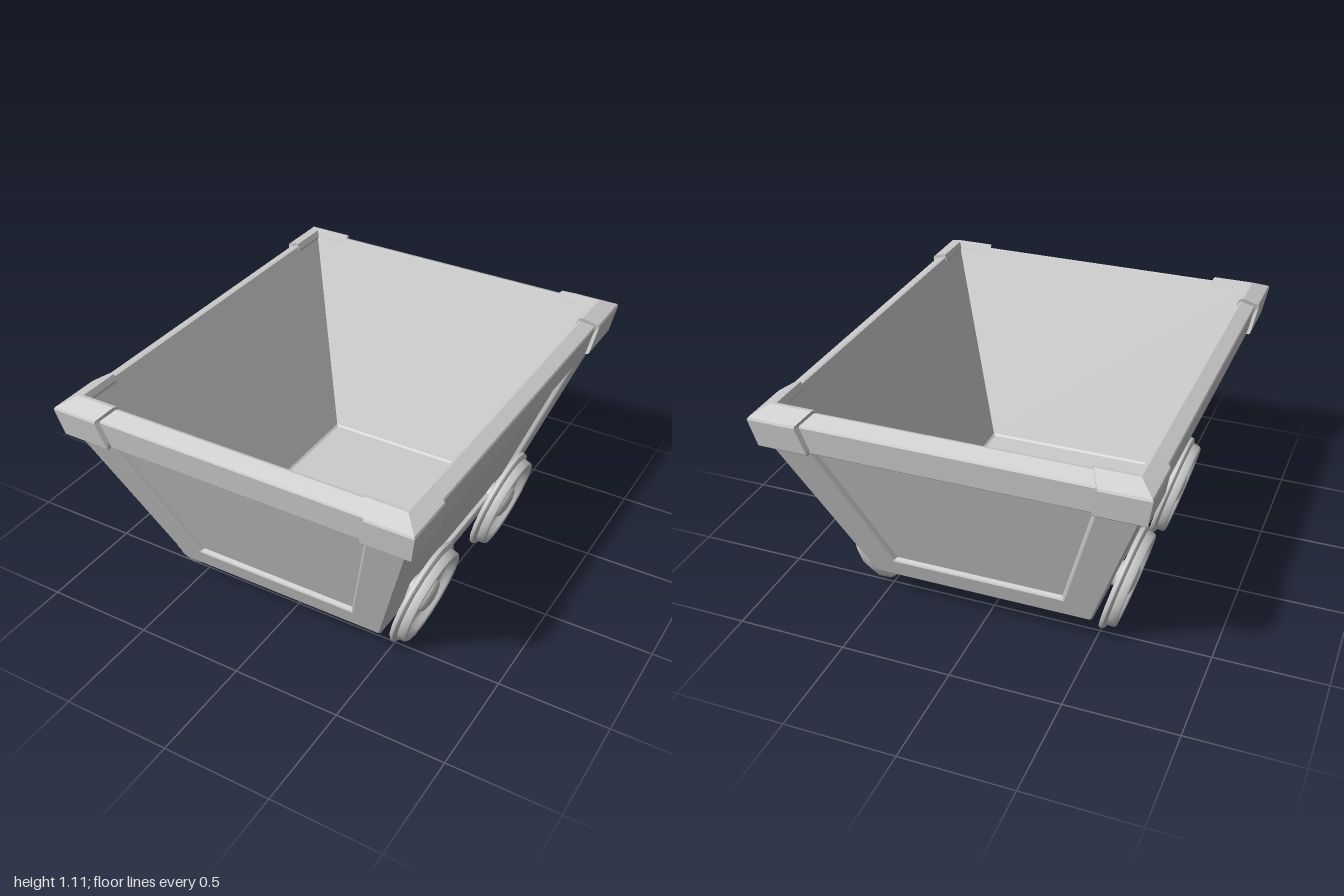
import * as THREE from 'three';
import { toCreasedNormals } from 'three/addons/utils/BufferGeometryUtils.js';

const material = new THREE.MeshStandardMaterial({ color: 0xcccccc });

// Joins closed rings of points with flat faces; optional caps on the first and last ring.
function loft(rings, capStart = false, capEnd = false) {
  const pos = [];
  const tri = (a, b, c) => pos.push(...a, ...b, ...c);
  const fan = (r) => { for (let i = 1; i < r.length - 1; i++) tri(r[0], r[i], r[i + 1]); };
  for (let k = 0; k < rings.length - 1; k++) {
    const A = rings[k], B = rings[k + 1], n = A.length;
    for (let i = 0; i < n; i++) {
      const j = (i + 1) % n;
      tri(A[i], A[j], B[j]);
      tri(A[i], B[j], B[i]);
    }
  }
  if (capStart) fan([...rings[0]].reverse());
  if (capEnd) fan(rings[rings.length - 1]);
  const g = new THREE.BufferGeometry();
  g.setAttribute('position', new THREE.Float32BufferAttribute(pos, 3));
  g.computeVertexNormals();
  return g;
}

function add(parent, name, geometry) {
  const m = new THREE.Mesh(geometry, material);
  m.name = name;
  parent.add(m);
  return m;
}

// Outer taper of the tub
const Y0 = 0.175, Y1 = 0.935, BEVEL = 0.008;
const taper = (a, b, y) => a + (b - a) * (y - Y0) / (Y1 - Y0);
const halfX = (y) => taper(0.507, 0.78, y);
const halfZ = (y) => taper(0.65, 0.945, y);

// Horizontal rectangle, counter-clockwise from above
const rect = (x, y, z) => [[x, y, z], [x, y, -z], [-x, y, -z], [-x, y, z]];
// Rectangle with small chamfered corners
const chamfered = (x, y, z, c) => [
  [x, y, z - c], [x, y, c - z], [x - c, y, -z], [c - x, y, -z],
  [-x, y, c - z], [-x, y, z - c], [c - x, y, z], [x - c, y, z],
];

// Wall facing +z: raised border around a sunken panel
function wall(width, depth, openLow, openHigh) {
  const lo = 0.28;
  const open = (y) => openLow + (openHigh - openLow) * (y - lo) / (Y1 - lo);
  const ring = (y0, y1, half, inset) => [[-1, y0], [1, y0], [1, y1], [-1, y1]]
    .map(([s, y]) => [s * half(y), y, depth(y) - inset]);
  return loft([
    ring(Y0, Y1, (y) => width(y) - BEVEL, 0),
    ring(lo - 0.008, Y1, (y) => open(y) + 0.008, 0),
    ring(lo, Y1, open, 0.006),
    ring(lo + 0.006, Y1, (y) => open(y) - 0.01, 0.024),
  ], false, true);
}

// Corner bracket wrapped around the rim; profile rows are [x, y, cut end]
const bracketProfile = [
  [0.75, 0.93, 0.59], [0.803, 0.93, 0.59], [0.81, 0.937, 0.592], [0.833, 1.062, 0.622],
  [0.829, 1.072, 0.62], [0.765, 1.109, 0.582], [0.748, 1.107, 0.576], [0.738, 1.08, 0.573],
];
function bracket(sx, sz) {
  const make = (fn) => {
    const r = bracketProfile.map(fn).map(([x, y, z]) => [x * sx, y, z * sz]);
    return sx * sz < 0 ? r.reverse() : r;
  };
  return loft([
    make(([x, y, e]) => [x, y, e + 0.14]),
    make(([x, y]) => [x, y, x + 0.167 - (x < 0.78 ? 0.01 : 0)]),
    make(([x, y, e]) => [e, y, x + 0.167 - (x < 0.78 ? 0.01 : 0)]),
  ], true, true);
}

// Flanged wheel with a dished face, domed hub and short axle stub
function wheelGeometry() {
  const profile = [
    [0, -0.05], [0.06, -0.05], [0.06, 0], [0.243, 0], [0.249, 0.006], [0.249, 0.018],
    [0.243, 0.024], [0.227, 0.03], [0.223, 0.06], [0.217, 0.067], [0.2, 0.067],
    [0.192, 0.06], [0.184, 0.038], [0.165, 0.024], [0.12, 0.017], [0.084, 0.016],
    [0.08, 0.048], [0.07, 0.06], [0.045, 0.067], [0, 0.07],
  ].map(([r, h]) => new THREE.Vector2(r, h));
  return toCreasedNormals(new THREE.LatheGeometry(profile, 18), 0.75);
}

export function createModel() {
  const cart = new THREE.Group();
  cart.name = 'mineCart';

  // Four panelled walls
  const tub = new THREE.Group();
  tub.name = 'tub';
  cart.add(tub);
  const endWall = wall(halfX, halfZ, 0.39, 0.6);
  const sideWall = wall(halfZ, halfX, 0.515, 0.725);
  ['frontWall', 'leftWall', 'backWall', 'rightWall'].forEach((name, i) => {
    add(tub, name, i % 2 ? sideWall : endWall).rotation.y = i * Math.PI / 2;
  });

  // Chamfered post edges
  for (const sx of [-1, 1]) for (const sz of [-1, 1]) {
    const edge = (y) => {
      const a = [sx * halfX(y), y, sz * (halfZ(y) - BEVEL)];
      const b = [sx * (halfX(y) - BEVEL), y, sz * halfZ(y)];
      const c = [sx * (halfX(y) - BEVEL), y, sz * (halfZ(y) - BEVEL)];
      return sx * sz > 0 ? [b, a, c] : [a, b, c];
    };
    add(tub, 'postEdge', loft([edge(Y0), edge(Y1)]));
  }

  // Underside
  add(tub, 'underside', loft([
    chamfered(0.5, 0.168, 0.643, BEVEL),
    chamfered(halfX(Y0), Y0, halfZ(Y0), BEVEL),
  ], true));

  // Rim running down into the sloping interior and floor
  add(tub, 'rimAndInterior', loft([
    rect(0.74, 0.932, 0.9), rect(0.788, 0.932, 0.953), rect(0.794, 0.937, 0.958),
    rect(0.816, 1.058, 0.979), rect(0.812, 1.066, 0.975), rect(0.758, 1.095, 0.912),
    rect(0.748, 1.092, 0.9), rect(0.437, 0.222, 0.566), rect(0.428, 0.214, 0.557),
  ], false, true));

  // Rim corner brackets
  for (const sx of [-1, 1]) for (const sz of [-1, 1]) add(cart, 'cornerBracket', bracket(sx, sz));

  // Wheels, leaning with the walls
  const wheel = wheelGeometry();
  for (const sx of [-1, 1]) for (const sz of [-1, 1]) {
    const w = add(cart, (sz > 0 ? 'front' : 'back') + (sx > 0 ? 'Left' : 'Right') + 'Wheel', wheel);
    w.position.set(sx * 0.555, 0.243, sz * 0.388);
    w.rotation.z = -sx * THREE.MathUtils.degToRad(105);
  }
  return cart;
}
